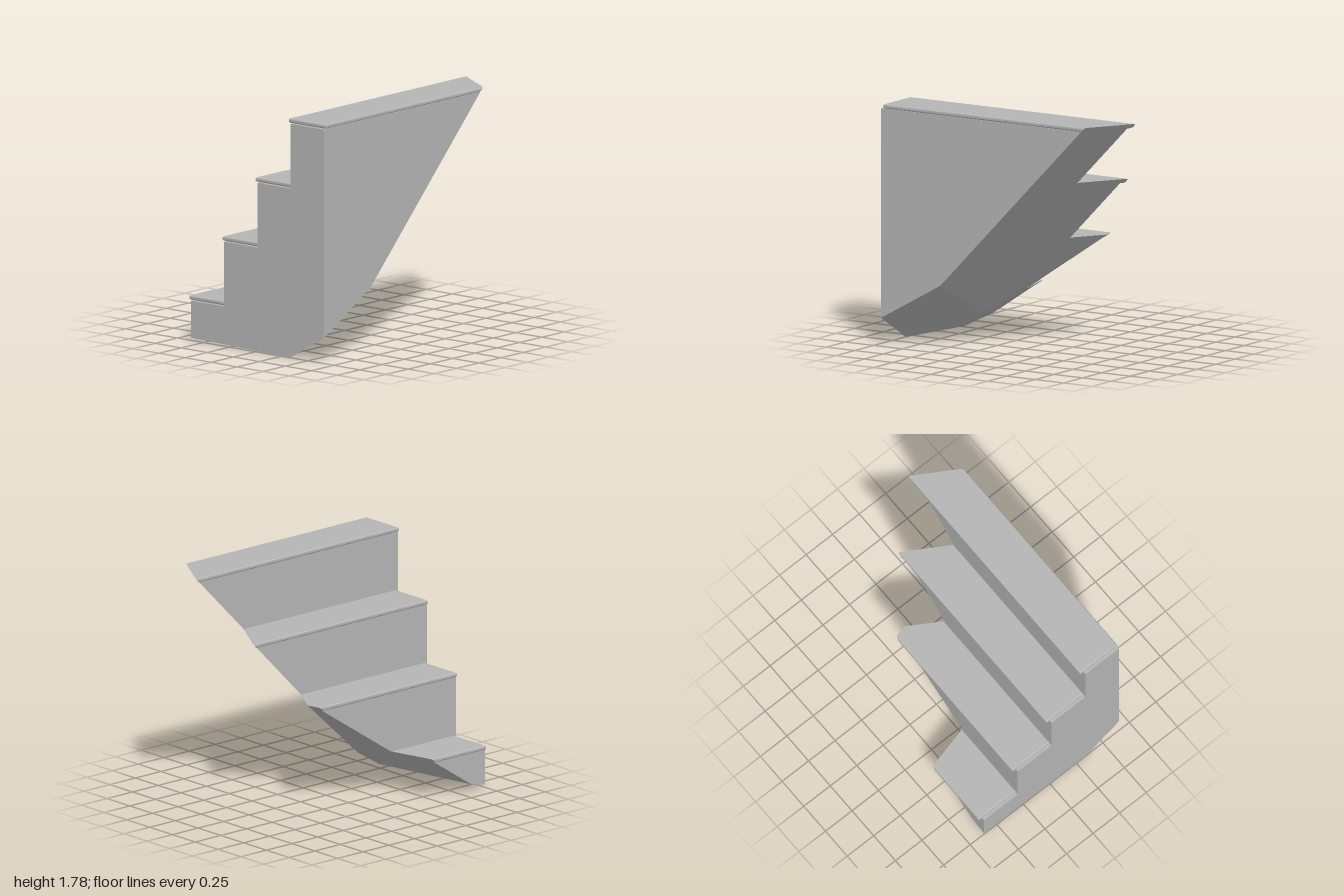
import * as THREE from 'three';

const V = (x, y, z) => new THREE.Vector3(x, y, z);
const inside = V(-0.9, 0.9, 0);

// Plane through three points, facing away from the inside of the block
function cut(a, b, c) {
  const p = new THREE.Plane().setFromCoplanarPoints(a, b, c);
  return p.distanceToPoint(inside) > 0 ? p.negate() : p;
}

// Plane with an outward normal, through a point
const facing = (n, point) => new THREE.Plane().setFromNormalAndCoplanarPoint(n.clone().normalize(), point);

// Flat-faced solid enclosed by planes
function solid(planes) {
  const corners = [];
  const n = planes.length;
  for (let i = 0; i < n; i++) for (let j = i + 1; j < n; j++) for (let k = j + 1; k < n; k++) {
    const [a, b, c] = [planes[i], planes[j], planes[k]];
    const bc = b.normal.clone().cross(c.normal);
    const det = a.normal.dot(bc);
    if (Math.abs(det) < 1e-6) continue;
    const p = bc.multiplyScalar(-a.constant)
      .addScaledVector(c.normal.clone().cross(a.normal), -b.constant)
      .addScaledVector(a.normal.clone().cross(b.normal), -c.constant)
      .divideScalar(det);
    if (planes.some(q => q.distanceToPoint(p) > 1e-5)) continue;
    if (!corners.some(q => q.distanceTo(p) < 1e-5)) corners.push(p);
  }
  const pos = [], nor = [];
  for (const { normal, constant } of planes) {
    const face = corners.filter(p => Math.abs(normal.dot(p) + constant) < 2e-5);
    if (face.length < 3) continue;
    const mid = face.reduce((s, p) => s.add(p), V(0, 0, 0)).divideScalar(face.length);
    const u = face[0].clone().sub(mid).normalize();
    const w = normal.clone().cross(u);
    const angle = p => Math.atan2(p.clone().sub(mid).dot(w), p.clone().sub(mid).dot(u));
    face.sort((p, q) => angle(p) - angle(q));
    for (let i = 1; i < face.length - 1; i++) {
      for (const p of [face[0], face[i], face[i + 1]]) {
        pos.push(p.x, p.y, p.z);
        nor.push(normal.x, normal.y, normal.z);
      }
    }
  }
  const g = new THREE.BufferGeometry();
  g.setAttribute('position', new THREE.Float32BufferAttribute(pos, 3));
  g.setAttribute('normal', new THREE.Float32BufferAttribute(nor, 3));
  return g;
}

// Slanted underside and side shared by all steps
const kneeFront = V(-0.48, 0.48, 0.655), knee = V(-0.44, 0.205, 0.14);
const heel = V(-0.63, 0.085, 0.115), keel = V(-1, 0, 0.33);
const cuts = [
  cut(V(-1, 0.19, 0.655), kneeFront, keel),
  cut(kneeFront, V(0.79, 1.78, 0.655), V(1, 1.78, 0.31)),
  cut(knee, V(0.39, 0.815, -0.23), V(-0.45, 0.33, -0.655)),
  cut(keel, heel, V(-1, 0.02, -0.62)),
];

// Axis-aligned box limits, open on +x where the cuts close it
const limits = (x0, y0, y1, z0, z1) => [
  facing(V(-1, 0, 0), V(x0, 0, 0)),
  facing(V(0, -1, 0), V(0, y0, 0)),
  facing(V(0, 1, 0), V(0, y1, 0)),
  facing(V(0, 0, -1), V(0, 0, z0)),
  facing(V(0, 0, 1), V(0, 0, z1)),
];

// Rounded tread edges: a few facets around a small radius
function rounding(x0, y0, y1, z0, z1) {
  const r = 0.013, list = [];
  for (const [sy, y] of [[-1, y0 + r], [1, y1 - r]]) {
    for (const deg of [22.5, 45, 67.5]) {
      const c = Math.cos(deg * Math.PI / 180), s = Math.sin(deg * Math.PI / 180);
      for (const [dir, centre] of [
        [V(-c, sy * s, 0), V(x0 + r, y, 0)],
        [V(0, sy * s, -c), V(0, y, z0 + r)],
        [V(0, sy * s, c), V(0, y, z1 - r)],
      ]) list.push(facing(dir, centre.addScaledVector(dir, r)));
    }
  }
  return list;
}

export function createModel() {
  const group = new THREE.Group();
  group.name = 'cutStaircase';
  const stone = new THREE.MeshStandardMaterial({ color: 0xb5b5b5 });
  stone.name = 'grey stone';
  const add = (name, planes) => {
    const mesh = new THREE.Mesh(solid(planes), stone);
    mesh.name = name;
    group.add(mesh);
  };

  const depth = 0.319, rise = 0.4825, thick = 0.034;
  for (let i = 0; i < 4; i++) {
    const top = 1.778 - i * rise;
    const front = 0.655 - i * depth;
    // Solid block below the tread
    add('stepBlock' + (i + 1), [...limits(-1, -0.1, top - thick, front - depth, front), ...cuts]);
    // Tread with an overhanging nosing
    const box = [-0.98, top - thick, top, front - depth - 0.033, front];
    add('tread' + (i + 1), [...limits(...box), ...rounding(...box), ...cuts]);
  }
  return group;
}
